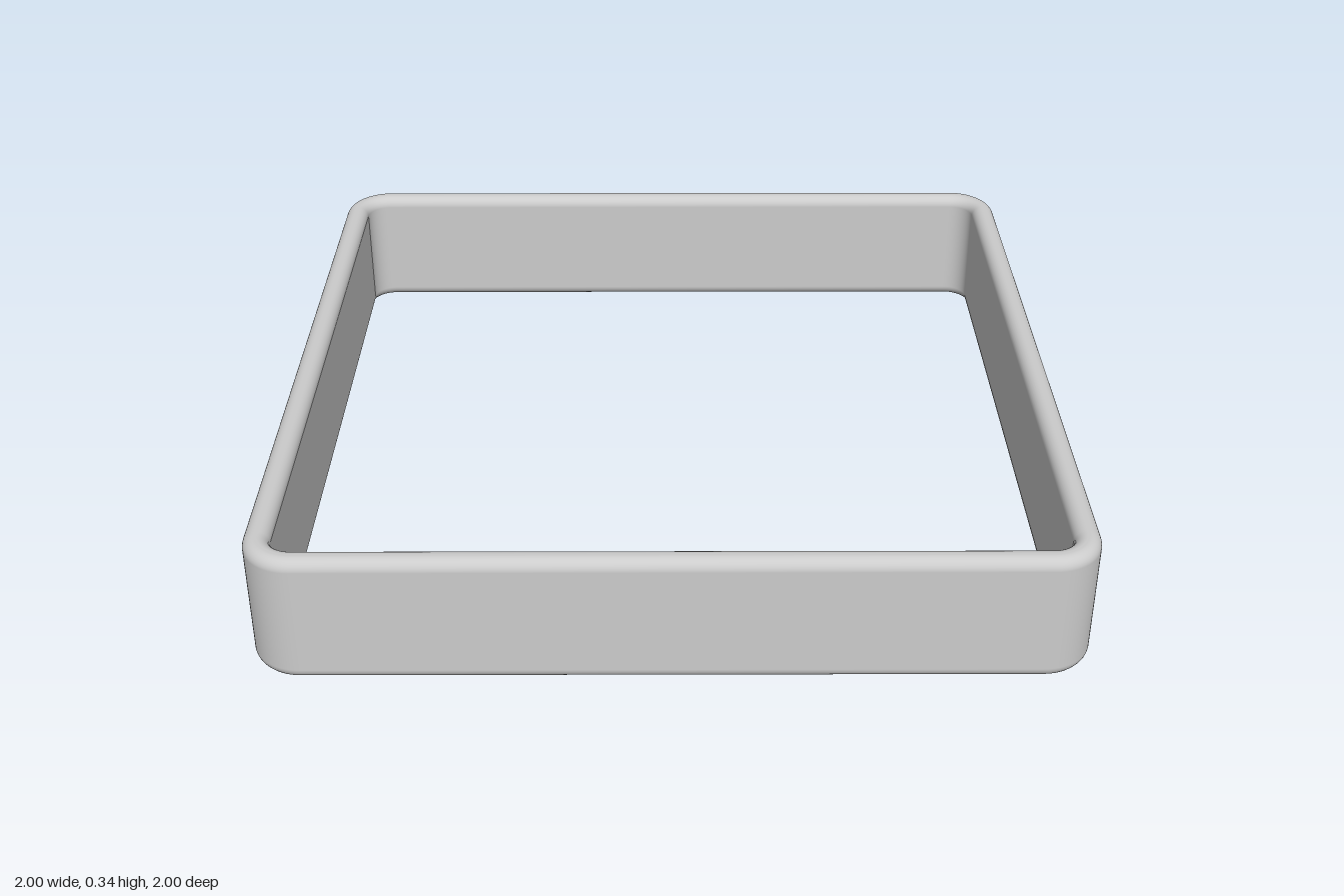
import * as THREE from 'three';

const HALF = 1, HEIGHT = 0.34, WALL = 0.064, CORNER = 0.125, EDGE = 0.03;

// Rounded rectangle, counter-clockwise: points with their outward normals
function roundedLoop(halfW, halfH, radius, steps) {
  const loop = [];
  for (let corner = 0; corner < 4; corner++) {
    const sx = corner === 0 || corner === 3 ? 1 : -1;
    const sy = corner < 2 ? 1 : -1;
    for (let i = 0; i <= steps; i++) {
      const a = (corner + i / steps) * Math.PI / 2;
      const nx = Math.cos(a), ny = Math.sin(a);
      loop.push({ x: sx * (halfW - radius) + radius * nx, y: sy * (halfH - radius) + radius * ny, nx, ny });
    }
  }
  return loop;
}

// Sweep a closed profile along a closed path lying in the ground plane
function sweep(path, profile) {
  const position = [], normal = [], index = [];
  const n = path.length, m = profile.length;
  path.forEach((p, i) => profile.forEach((q, j) => {
    position.push(p.x + p.nx * q.x, q.y, p.y + p.ny * q.x);
    normal.push(p.nx * q.nx, q.ny, p.ny * q.nx);
    const i2 = (i + 1) % n, j2 = (j + 1) % m;
    const a = i * m + j, b = i * m + j2, c = i2 * m + j2, d = i2 * m + j;
    index.push(a, b, d, b, c, d);
  }));
  const geometry = new THREE.BufferGeometry();
  geometry.setAttribute('position', new THREE.Float32BufferAttribute(position, 3));
  geometry.setAttribute('normal', new THREE.Float32BufferAttribute(normal, 3));
  geometry.setIndex(index);
  return geometry;
}

export function createModel() {
  const group = new THREE.Group();
  group.name = 'squareFrame';

  // Upright band with rounded rims, swept around a rounded square
  const path = roundedLoop(HALF - WALL / 2, HALF - WALL / 2, CORNER - WALL / 2, 16);
  const profile = roundedLoop(WALL / 2, HEIGHT / 2, EDGE, 8);
  const band = new THREE.Mesh(sweep(path, profile), new THREE.MeshStandardMaterial({ color: 0xcccccc }));
  band.name = 'frameBand';
  band.position.y = HEIGHT / 2;
  group.add(band);
  return group;
}
